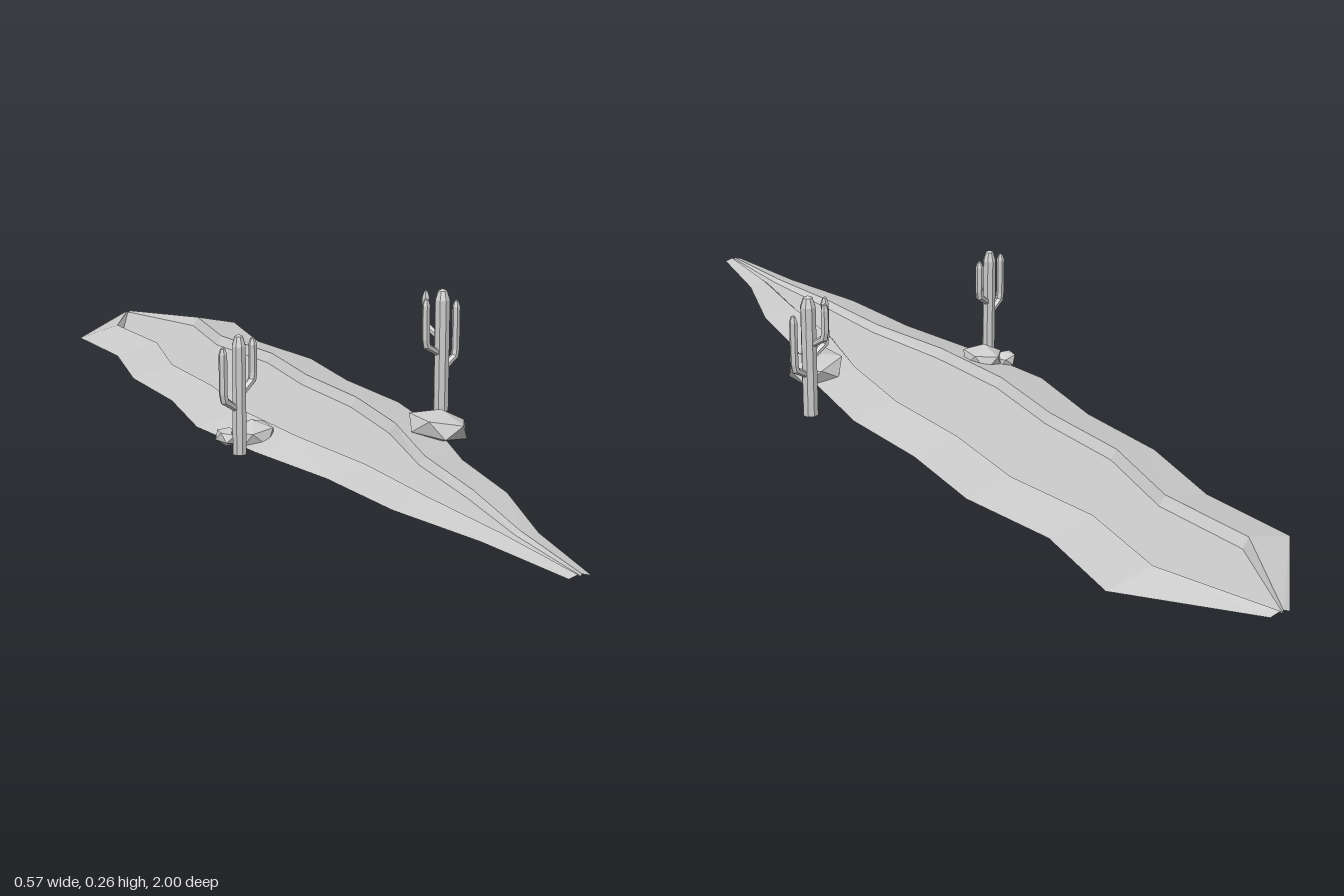
import * as THREE from 'three';

const stone = new THREE.MeshStandardMaterial({ color: 0xcccccc });
stone.name = 'pale grey';
stone.flatShading = true;
stone.side = THREE.DoubleSide;

// Joins rows of points into one faceted surface
function surface(rows, name) {
  const n = rows[0].length, index = [];
  for (let i = 0; i < rows.length - 1; i++) {
    for (let j = 0; j < n - 1; j++) {
      const a = i * n + j, b = a + n;
      index.push(a, b, a + 1, a + 1, b, b + 1);
    }
  }
  const geo = new THREE.BufferGeometry();
  geo.setAttribute('position', new THREE.Float32BufferAttribute(rows.flat(2), 3));
  geo.setIndex(index);
  const flat = geo.toNonIndexed();
  flat.computeVertexNormals();
  const mesh = new THREE.Mesh(flat, stone);
  mesh.name = name;
  return mesh;
}

// Six-sided limb; each ring is [outward, height, radius, heading in degrees]
function limb(rings, name, sides = 6) {
  const rows = rings.map(([out, y, r, deg = 90]) => {
    const b = THREE.MathUtils.degToRad(deg), row = [];
    for (let j = 0; j <= sides; j++) {
      const a = (j / sides) * Math.PI * 2, u = r * Math.cos(a);
      row.push([out + u * Math.sin(b), y - u * Math.cos(b), r * Math.sin(a)]);
    }
    return row;
  });
  return surface(rows, name);
}

// Arms are [x offset, z offset, elbow height, tip height]
function cactus(name, x, z, height, r, arms) {
  const group = new THREE.Group();
  group.name = name;
  const base = 0.016;
  group.add(limb([
    [0, base, 0], [0, base, r], [0, height - 0.022, r],
    [0, height - 0.004, r * 0.6], [0, height, 0],
  ], 'trunk', 8));
  for (const [dx, dz, elbow, tip] of arms) {
    const d = Math.hypot(dx, dz), q = 0.008;
    const arm = limb([
      [0.006, elbow - 0.02, 0, 20], [0.006, elbow - 0.02, q * 0.8, 20],
      [d - 0.003, elbow, q, 60], [d, elbow + 0.014, q],
      [d, tip - 0.014, q], [d, tip - 0.003, q * 0.55], [d, tip, 0],
    ], 'arm');
    arm.rotation.y = Math.atan2(-dz, dx);
    group.add(arm);
  }
  group.position.set(x, 0, z);
  return group;
}

// Angular boulder with a vertex at its crown
function rock(name, pos, size, turn, tilt) {
  const geo = new THREE.IcosahedronGeometry(1, 0);
  geo.rotateX(-Math.atan((1 + Math.sqrt(5)) / 2));
  geo.rotateY(turn);
  geo.scale(...size);
  geo.rotateZ(tilt);
  const mesh = new THREE.Mesh(geo, stone);
  mesh.name = name;
  mesh.position.set(...pos);
  return mesh;
}

export function createModel() {
  const model = new THREE.Group();
  model.name = 'desertRiver';

  // River stations: z, outer left, ridge left, ridge right, outer right, ridge height
  const stations = [
    [-1.0, -0.05, -0.036, -0.03, -0.01, 0.025],
    [-0.8, -0.22, -0.13, 0.068, 0.16, 0.04],
    [-0.6, -0.20, -0.108, 0.046, 0.135, 0.04],
    [-0.4, -0.235, -0.148, 0.083, 0.175, 0.04],
    [-0.2, -0.225, -0.137, 0.073, 0.165, 0.04],
    [0.0, -0.25, -0.153, 0.088, 0.182, 0.04],
    [0.2, -0.215, -0.132, 0.072, 0.16, 0.04],
    [0.4, -0.165, -0.09, 0.028, 0.105, 0.036],
    [0.6, -0.14, -0.074, 0.013, 0.08, 0.033],
    [0.8, -0.085, -0.048, -0.015, 0.02, 0.028],
    [1.0, -0.05, -0.034, -0.027, -0.01, 0.024],
  ];
  const bed = 0.021, edge = 0.019;
  const sections = stations.map(([z, ol, rl, rr, or, h]) => {
    const step = Math.min(0.012, (rr - rl) * 0.25);
    return [
      [ol, edge, z], [rl, h, z], [rl + step, bed, z],
      [rr - step, bed, z], [rr, h, z], [or, edge, z],
    ];
  });
  const strip = (from, to, name) => model.add(surface(sections.map((s) => s.slice(from, to + 1)), name));
  strip(0, 2, 'rightBank');
  strip(2, 3, 'riverBed');
  strip(3, 5, 'leftBank');

  // Cacti beside the banks
  model.add(cactus('rightCactus', -0.24, 0.187, 0.24, 0.0135, [
    [-0.037, 0.015, 0.122, 0.223],
    [0.035, -0.018, 0.148, 0.228],
  ]));
  model.add(cactus('leftCactus', 0.235, 0.08, 0.261, 0.0155, [
    [0.039, -0.014, 0.12, 0.233],
    [-0.042, 0.012, 0.152, 0.248],
    [-0.017, -0.036, 0.182, 0.253],
  ]));

  // Boulders on the banks
  model.add(rock('leftRock', [0.138, 0.039, 0.247], [0.064, 0.032, 0.066], 0.4, -0.18));
  model.add(rock('rightRock', [-0.19, 0.031, 0.13], [0.046, 0.03, 0.046], 0.9, 0.1));
  model.add(rock('smallRock', [-0.232, 0.027, 0.11], [0.025, 0.018, 0.025], 0.2, -0.2));

  return model;
}
